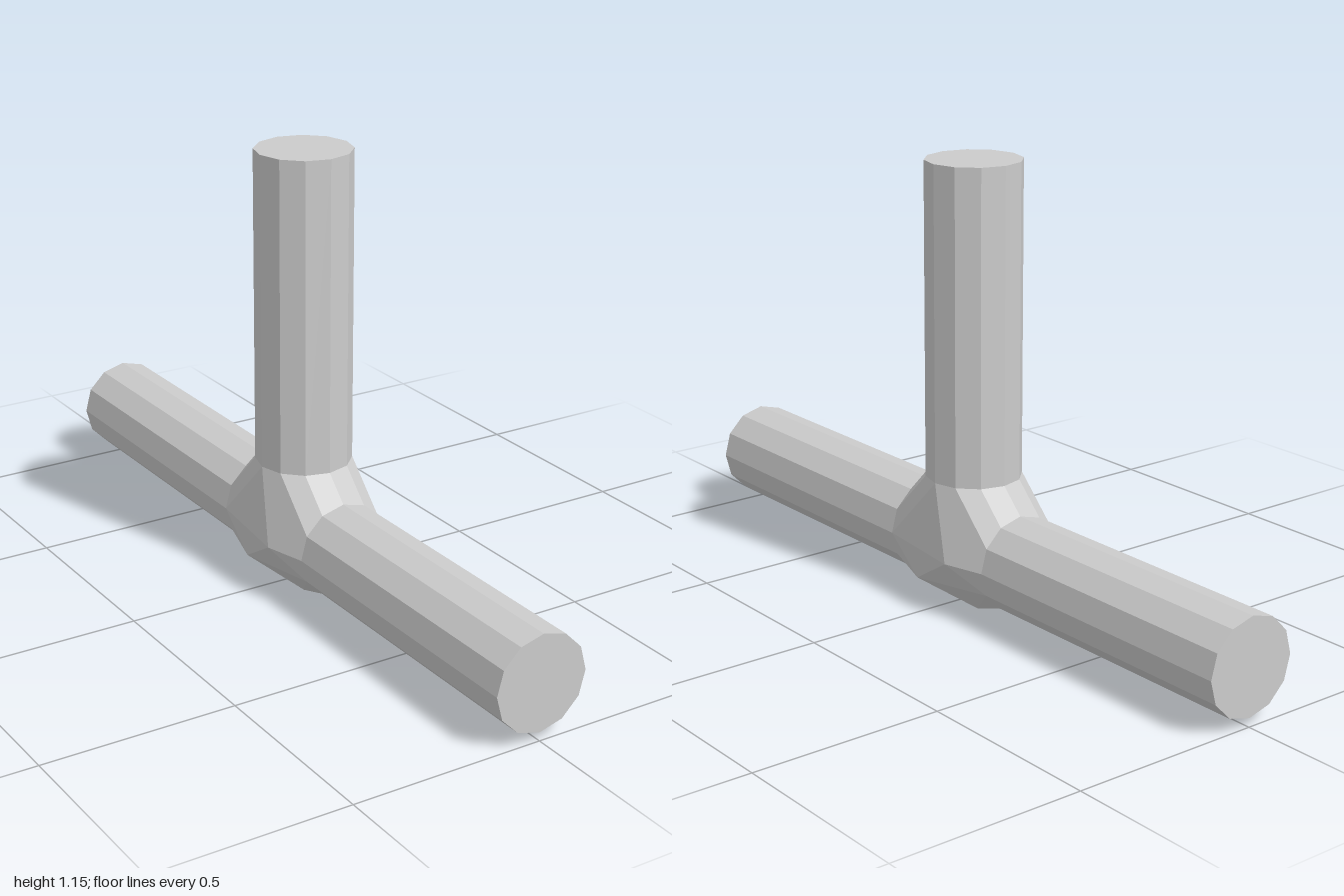
import * as THREE from 'three';
import { ConvexGeometry } from 'three/addons/geometries/ConvexGeometry.js';

const SIDES = 12;
const PIPE_R = 0.124; // pipe radius
const COLLAR = 0.187; // distance from the joint centre to each pipe's root
const REACH = 1; // distance from the joint centre to each pipe's end
const CENTRE_Y = 0.147;
const BALL_R = 0.172;

// Directions of the three pipes, as rotations of +y
const ARMS = {
  uprightPipe: new THREE.Euler(0, 0, 0),
  frontPipe: new THREE.Euler(Math.PI / 2, 0, 0),
  backPipe: new THREE.Euler(-Math.PI / 2, 0, 0),
};

// Corners of one pipe's root ring
function collarRing(rotation) {
  return Array.from({ length: SIDES }, (_, i) => {
    const a = (i / SIDES) * Math.PI * 2;
    return new THREE.Vector3(Math.sin(a) * PIPE_R, COLLAR, Math.cos(a) * PIPE_R).applyEuler(rotation);
  });
}

// Corners of an icosahedron standing on its poles along z
function ballPoints() {
  const z = BALL_R / Math.sqrt(5);
  const points = [new THREE.Vector3(0, 0, BALL_R), new THREE.Vector3(0, 0, -BALL_R)];
  for (let i = 0; i < 5; i++) {
    const a = (i / 5) * Math.PI * 2;
    const x = Math.cos(a) * 2 * z;
    const y = Math.sin(a) * 2 * z;
    points.push(new THREE.Vector3(x, y, -z), new THREE.Vector3(-x, y, z));
  }
  return points;
}

export function createModel() {
  const group = new THREE.Group();
  group.name = 'pipeTee';
  const material = new THREE.MeshStandardMaterial({ color: 0xcccccc, flatShading: true });
  const hubPoints = ballPoints();

  // Three equal pipes
  for (const [name, rotation] of Object.entries(ARMS)) {
    const geometry = new THREE.CylinderGeometry(PIPE_R, PIPE_R, REACH - COLLAR, SIDES);
    geometry.translate(0, (REACH + COLLAR) / 2, 0);
    const pipe = new THREE.Mesh(geometry, material);
    pipe.name = name;
    pipe.rotation.copy(rotation);
    pipe.position.y = CENTRE_Y;
    group.add(pipe);
    hubPoints.push(...collarRing(rotation));
  }

  // Faceted joint: hull around the ball and the pipe roots
  const hub = new THREE.Mesh(new ConvexGeometry(hubPoints), material);
  hub.name = 'jointHub';
  hub.position.y = CENTRE_Y;
  group.add(hub);

  return group;
}
